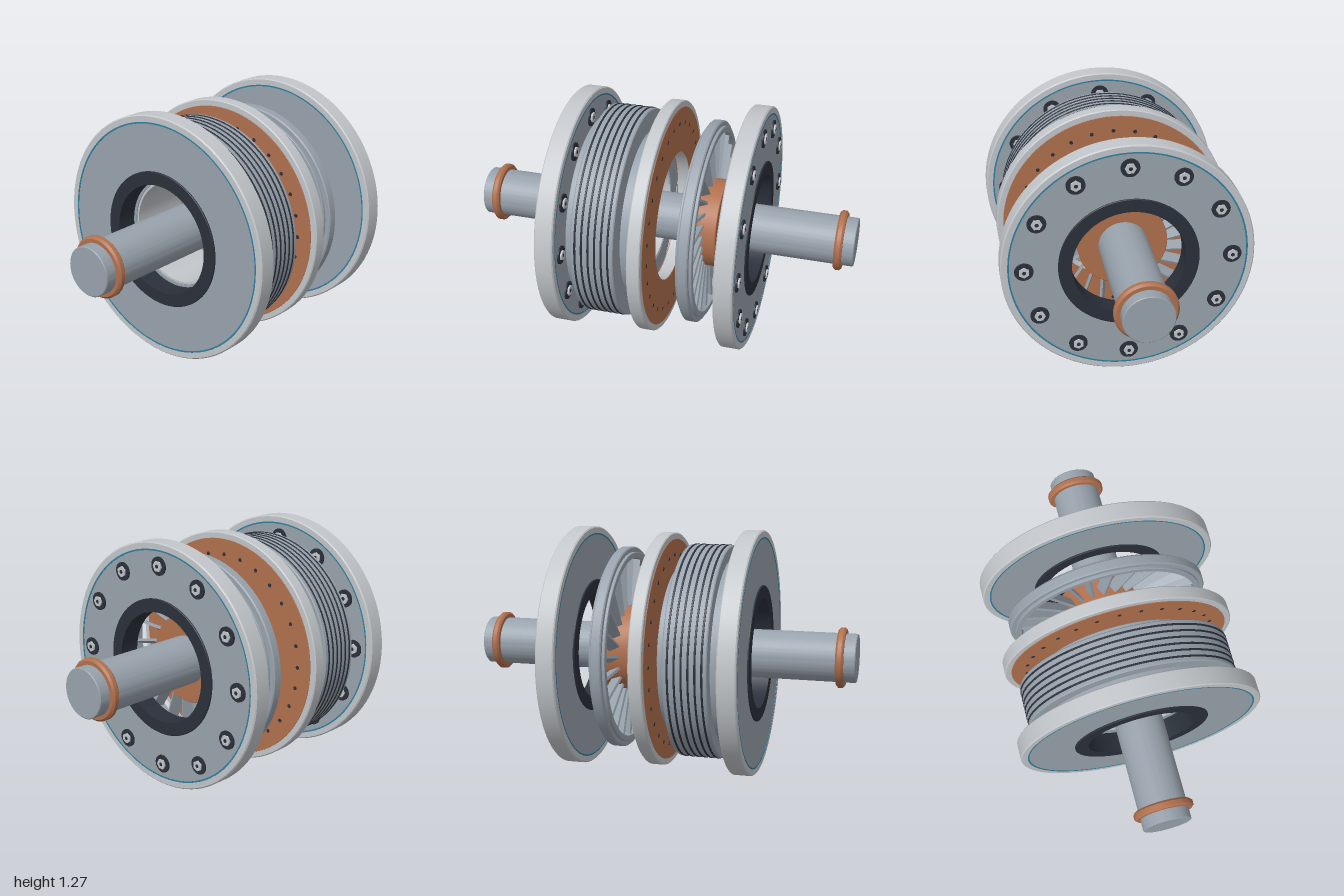
import * as THREE from 'three';
import { toCreasedNormals } from 'three/addons/utils/BufferGeometryUtils.js';

const mat = (color) => new THREE.MeshStandardMaterial({ color });
const steel = mat(0x98a2ac), light = mat(0xc2c6ca), dark = mat(0x2a303a);
const copper = mat(0xb0704e), blue = mat(0x2f7f9f);

// Turned part about the x axis; profile points are [x, radius], outside left to right, bore right to left
function turned(name, profile, material) {
  const pts = profile.map(([x, r]) => new THREE.Vector2(r, x));
  const geo = new THREE.LatheGeometry(pts, 96).rotateZ(-Math.PI / 2);
  const mesh = new THREE.Mesh(toCreasedNormals(geo, 0.5), material);
  mesh.name = name;
  return mesh;
}

// Plain ring with a small bevel on its outer edges
function ring(name, x0, x1, inner, outer, material, b = 0.003) {
  return turned(name, [
    [x0, inner], [x0, outer - b], [x0 + b, outer], [x1 - b, outer],
    [x1, outer - b], [x1, inner], [x0, inner],
  ], material);
}

function disc(name, r, x0, x1, sides, material) {
  const geo = new THREE.CylinderGeometry(r, r, x1 - x0, sides);
  geo.rotateZ(-Math.PI / 2).translate((x0 + x1) / 2, 0, 0);
  const mesh = new THREE.Mesh(geo, material);
  mesh.name = name;
  return mesh;
}

// Place copies around the x axis at a radius
function around(parent, count, radius, make) {
  for (let i = 0; i < count; i++) {
    const a = (i / count) * Math.PI * 2;
    const part = make(i);
    part.position.set(0, Math.cos(a) * radius, Math.sin(a) * radius);
    part.rotation.x = a;
    parent.add(part);
  }
}

function bolt() {
  const g = new THREE.Group();
  g.name = 'bolt';
  g.add(disc('washer', 0.047, 0.044, 0.054, 32, dark));
  g.add(disc('hexHead', 0.028, 0.05, 0.063, 6, light));
  g.add(disc('socket', 0.01, 0.06, 0.0635, 16, dark));
  return g;
}

function endFlange(name, x) {
  const g = new THREE.Group();
  g.name = name;
  g.add(ring('rim', -0.048, 0.048, 0.6, 0.635, light, 0.006));
  g.add(ring('plate', -0.046, 0.046, 0.34, 0.601, steel));
  for (const s of [-1, 1]) {
    g.add(ring('sealRing', s * 0.046 - 0.002, s * 0.046 + 0.002, 0.592, 0.6, blue, 0.0005));
  }
  g.add(ring('bushing', -0.054, 0.054, 0.285, 0.353, dark));
  around(g, 12, 0.52, bolt);
  g.position.x = x;
  return g;
}

function rotor() {
  const g = new THREE.Group();
  g.name = 'rotor';
  g.add(turned('drum', [
    [-0.393, 0.275], [-0.393, 0.484], [-0.39, 0.487], [-0.345, 0.487],
    [-0.345, 0.55], [-0.34, 0.555], [-0.128, 0.555], [-0.123, 0.55],
    [-0.123, 0.44], [-0.07, 0.44], [-0.067, 0.437], [-0.067, 0.33],
    [-0.058, 0.33], [-0.058, 0.275], [-0.393, 0.275],
  ], steel));
  g.add(ring('sleeve', -0.39, -0.06, 0.262, 0.276, light));
  // Dark bands between the fins
  for (let i = 0; i < 6; i++) {
    const x = -0.32 + i * 0.034;
    g.add(ring('band', x - 0.005, x + 0.005, 0.54, 0.558, dark, 0.001));
  }
  return g;
}

function frictionDisc() {
  const g = new THREE.Group();
  g.name = 'frictionDisc';
  g.add(ring('discBody', -0.034, 0.034, 0.345, 0.613, light, 0.005));
  for (const s of [-1, 1]) {
    g.add(ring('facing', s * 0.035 - 0.002, s * 0.035 + 0.002, 0.343, 0.58, copper, 0.001));
  }
  around(g, 28, 0.5, () => disc('rivet', 0.01, -0.039, 0.039, 12, dark));
  g.position.x = -0.003;
  return g;
}

function vaneWheel() {
  const g = new THREE.Group();
  g.name = 'vaneWheel';
  g.add(ring('hub', -0.092, 0.092, 0.12, 0.23, copper, 0.003));
  g.add(ring('wheelRim', -0.042, 0.042, 0.475, 0.505, steel));
  g.add(ring('wheelFlange', -0.027, 0.027, 0.49, 0.533, steel, 0.006));
  // Pitched vanes, leaning slightly off radial
  around(g, 24, 0.355, () => {
    const holder = new THREE.Group();
    holder.name = 'vane';
    const blade = new THREE.Mesh(new THREE.BoxGeometry(0.06, 0.285, 0.014), steel);
    blade.name = 'blade';
    blade.rotation.set(0.2, 0.4, 0);
    holder.add(blade);
    return holder;
  });
  g.position.x = 0.222;
  return g;
}

export function createModel() {
  const model = new THREE.Group();
  model.name = 'shaftAssembly';
  model.add(turned('shaft', [
    [-1, 0], [-1, 0.121], [-0.996, 0.125], [0.996, 0.125], [1, 0.121], [1, 0],
  ], steel));
  for (const s of [-1, 1]) {
    model.add(ring('collar', s * 0.922 - 0.02, s * 0.922 + 0.02, 0.12, 0.154, copper, 0.01));
  }
  model.add(endFlange('rightFlange', -0.455));
  model.add(endFlange('leftFlange', 0.448));
  model.add(rotor(), frictionDisc(), vaneWheel());
  model.position.y = 0.635;
  const root = new THREE.Group();
  root.name = 'model';
  root.add(model);
  return root;
}
